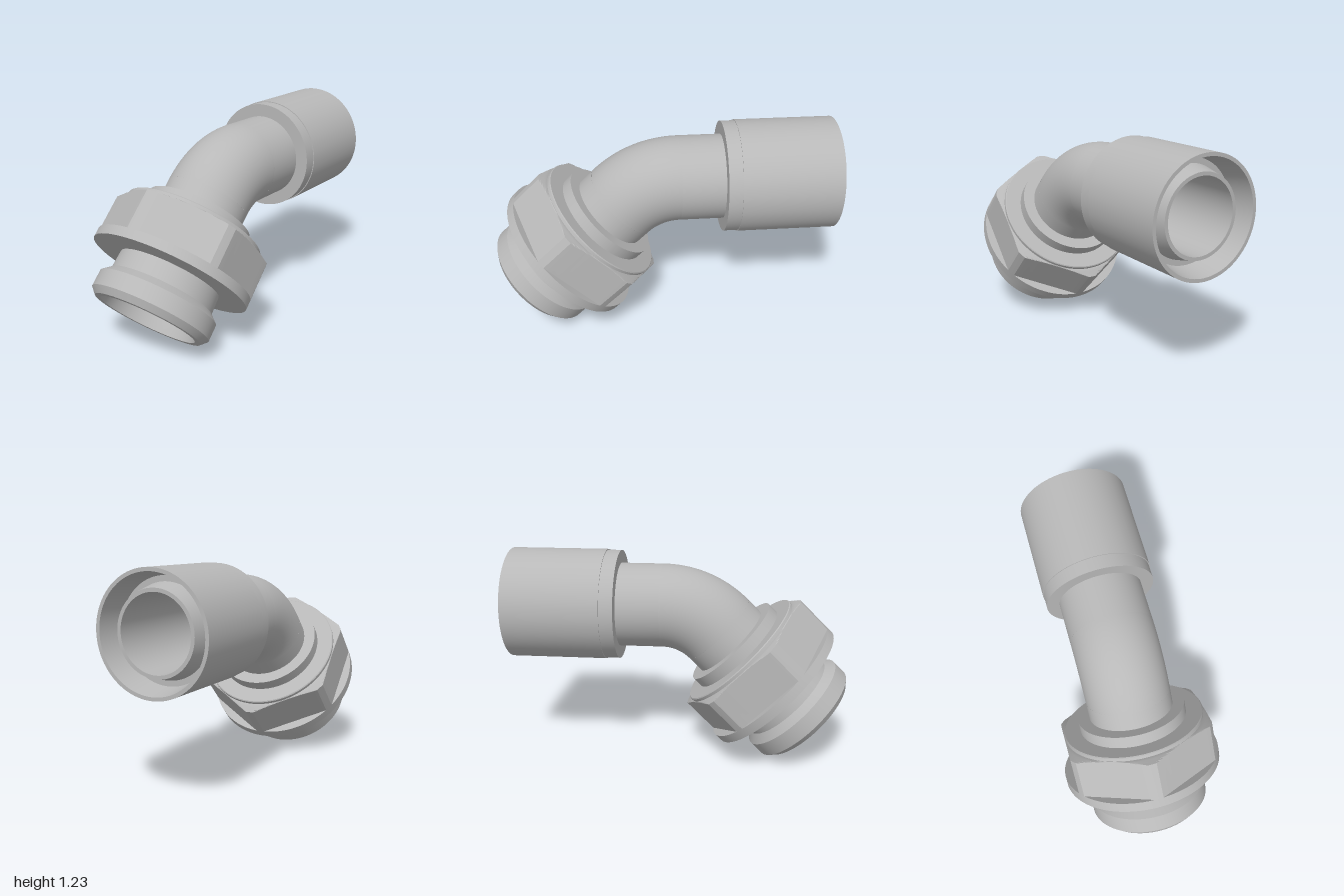
import * as THREE from 'three';
import { toCreasedNormals } from 'three/addons/utils/BufferGeometryUtils.js';

const PIPE_R = 0.247, BORE_R = 0.206, BEND_R = 0.47, AXIS_Y = 0.905, BEND_X = 0.1;

export function createModel() {
  const steel = new THREE.MeshStandardMaterial({ color: 0xb8b8b8, side: THREE.DoubleSide });
  steel.name = 'steel grey';

  const add = (parent, name, geometry) => {
    const mesh = new THREE.Mesh(toCreasedNormals(geometry, 0.35), steel);
    mesh.name = name;
    parent.add(mesh);
    return mesh;
  };
  // Profile points are [radius, distance along the axis]
  const lathe = (points, segments = 96) =>
    new THREE.LatheGeometry(points.map(([r, s]) => new THREE.Vector2(r, s)), segments);

  const model = new THREE.Group();
  model.name = 'elbowFitting';

  // Horizontal branch: axis along +x
  const hoseEnd = new THREE.Group();
  hoseEnd.name = 'hoseEnd';
  hoseEnd.rotation.z = -Math.PI / 2;
  hoseEnd.position.y = AXIS_Y;
  model.add(hoseEnd);
  add(hoseEnd, 'straightPipe', lathe([[PIPE_R, BEND_X], [PIPE_R, 0.36]]));
  add(hoseEnd, 'sleeve', lathe([
    [PIPE_R, 0.35], [0.322, 0.35], [0.322, 0.43], [0.327, 0.43], [0.327, 1],
    [0.307, 1], [0.281, 0.85], [0.25, 0.85],
  ]));
  add(hoseEnd, 'innerNipple', lathe([
    [0.25, 0.85], [0.226, 0.96], [BORE_R, 0.96], [BORE_R, BEND_X],
  ]));

  // 45 degree bend, outer wall and bore
  const bend = (name, r) => {
    const mesh = add(model, name, new THREE.TorusGeometry(BEND_R, r, 64, 32, Math.PI / 4));
    mesh.rotation.z = Math.PI / 2;
    mesh.position.set(BEND_X, AXIS_Y - BEND_R, 0);
  };
  bend('bentPipe', PIPE_R);
  bend('bentBore', BORE_R);

  // Sloping branch: axis runs from the threaded end up to the bend
  const threadedEnd = new THREE.Group();
  threadedEnd.name = 'threadedEnd';
  threadedEnd.rotation.z = -Math.PI / 4;
  threadedEnd.position.set(-0.775, 0.225, 0);
  model.add(threadedEnd);
  add(threadedEnd, 'stud', lathe([
    [BORE_R, 0.767], [BORE_R, 0.3], [0.285, 0], [0.318, 0], [0.352, 0.035],
    [0.352, 0.13], [0.305, 0.172], [0.3, 0.29],
  ]));
  add(threadedEnd, 'collar', lathe([
    [0.315, 0.56], [0.315, 0.665], [PIPE_R, 0.665], [PIPE_R, 0.767],
  ]));
  add(threadedEnd, 'nutFlange', lathe([
    [0.29, 0.277], [0.467, 0.277], [0.467, 0.332], [0.4, 0.332],
  ]));
  add(threadedEnd, 'nutWasherFace', lathe([
    [0.413, 0.56], [0.413, 0.592], [0.408, 0.597], [0.3, 0.597],
  ]));

  // Hexagon: a turned blank cut back to six flats
  const hex = lathe([
    [0.467, 0.33], [0.467, 0.56], [0.455, 0.5635], [0.443, 0.567],
    [0.43, 0.571], [0.415, 0.575], [0.3, 0.575],
  ], 120);
  const pos = hex.attributes.position;
  const sector = Math.PI / 3;
  for (let i = 0; i < pos.count; i++) {
    const x = pos.getX(i), z = pos.getZ(i);
    const angle = Math.atan2(x, z);
    const fromFlat = angle - Math.round(angle / sector) * sector;
    const k = Math.min(1, 0.417 / Math.cos(fromFlat) / Math.hypot(x, z));
    pos.setX(i, x * k);
    pos.setZ(i, z * k);
  }
  add(threadedEnd, 'hexNut', hex);

  return model;
}
